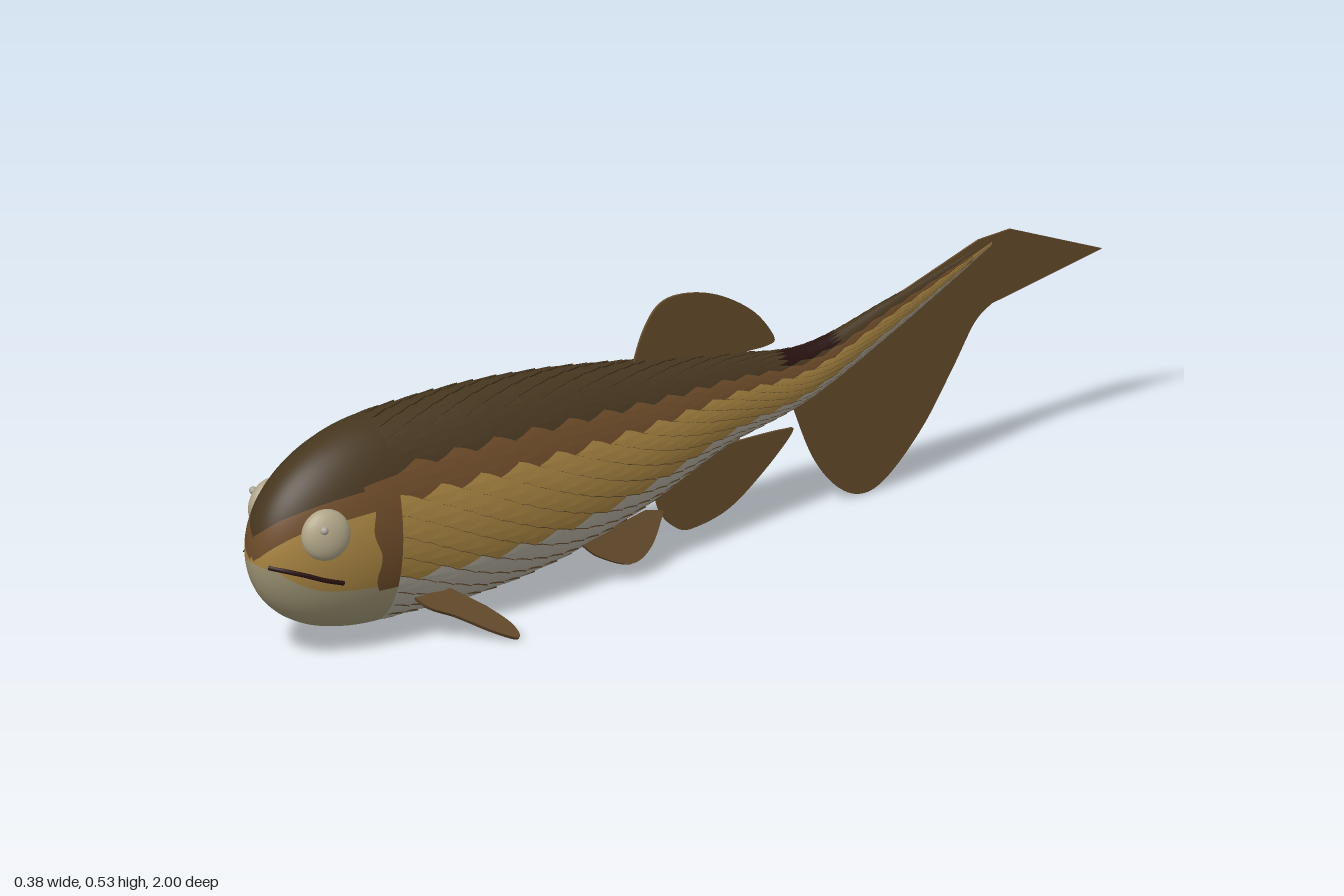
import * as THREE from 'three';

const mat = (name, color, side = THREE.FrontSide) => {
  const m = new THREE.MeshStandardMaterial({ color, side });
  m.name = name;
  return m;
};

// Body profile along z: centre height, half height, half width
const STATIONS = [
  [-0.74, 0.452, 0.006, 0.003], [-0.5, 0.358, 0.036, 0.016], [-0.3, 0.29, 0.056, 0.033],
  [-0.1, 0.283, 0.094, 0.058], [0.1, 0.262, 0.148, 0.088], [0.3, 0.25, 0.192, 0.11],
  [0.5, 0.247, 0.212, 0.122], [0.7, 0.248, 0.21, 0.121], [1, 0.232, 0.21, 0.121],
];
const profile = new THREE.CubicInterpolant(
  STATIONS.map(s => s[0]), STATIONS.flatMap(s => s.slice(1)), 3, new Float32Array(3));

function section(z) {
  const [cy, ry, rx] = profile.evaluate(z);
  const t = Math.max(0, (z - 0.7) / 0.3); // rounded snout
  const f = Math.pow(Math.max(0, 1 - Math.pow(t, 2.1)), 1 / 2.1);
  return { cy, ry: ry * f, rx: rx * f };
}

// Point on the skin; u runs from the belly (0) up the left side to the back (PI)
function skin(z, u, off = 0) {
  const { cy, ry, rx } = section(z);
  const s = Math.sin(u), c = -Math.cos(u);
  const n = new THREE.Vector2(s * ry, c * rx);
  if (n.length() > 1e-9) n.normalize();
  return new THREE.Vector3(rx * s + n.x * off, cy + ry * c + n.y * off, z);
}

// Colour limits on the trunk, as fractions of its height
const BANDS = [0.26, 0.69, 0.8];
const trunkLimits = () => BANDS.map(t => Math.acos(1 - 2 * t));

// Colour limits on the face: height against distance from the middle
const FACE = [
  [[0, 0.222], [0.05, 0.212], [0.085, 0.165], [0.13, 0.135]],
  [[0, 0.224], [0.02, 0.237], [0.07, 0.287], [0.13, 0.325]],
  [[0, 0.268], [0.04, 0.31], [0.08, 0.342], [0.13, 0.375]],
];
function heightAt(table, x) {
  const i = Math.max(1, table.findIndex(p => p[0] >= x));
  const [a, b] = [table[i - 1], table[i]];
  return THREE.MathUtils.mapLinear(x, a[0], b[0], a[1], b[1]);
}
function faceLimits(z) {
  return FACE.map(table => {
    let lo = 0, hi = Math.PI;
    for (let k = 0; k < 24; k++) {
      const u = (lo + hi) / 2, p = skin(z, u);
      if (p.y < heightAt(table, Math.abs(p.x))) lo = u; else hi = u;
    }
    return lo;
  });
}

// Closed skin with four colour bands on each side
function loft(zs, limits, off, materials) {
  const counts = [8, 8, 4, 8], pos = [], owner = [];
  counts.forEach((n, b) => { for (let k = 0; k < n; k++) owner.push(b); });
  const half = owner.length, N = half * 2;
  for (const z of zs) {
    const edges = [0, ...limits(z), Math.PI], us = [];
    counts.forEach((n, b) => {
      for (let k = 0; k < n; k++) us.push(THREE.MathUtils.lerp(edges[b], edges[b + 1], k / n));
    });
    us.push(Math.PI);
    for (let j = 0; j < N; j++) {
      const u = j <= half ? us[j] : 2 * Math.PI - us[N - j];
      pos.push(...skin(z, u, z > 0.9999 ? 0 : off).toArray());
    }
  }
  const geo = new THREE.BufferGeometry(), index = [];
  geo.setAttribute('position', new THREE.Float32BufferAttribute(pos, 3));
  for (let b = 0; b < 4; b++) {
    const start = index.length;
    for (let i = 0; i < zs.length - 1; i++) for (let j = 0; j < N; j++) {
      if (owner[j < half ? j : N - 1 - j] !== b) continue;
      const k = (j + 1) % N, r = i * N, s = r + N;
      index.push(r + j, s + j, s + k, r + j, s + k, r + k);
    }
    geo.addGroup(start, index.length - start, b);
  }
  geo.setIndex(index);
  geo.computeVertexNormals();
  return new THREE.Mesh(geo, materials);
}

// Flat fin from an outline in (z, y)
function finPanel(outline, depth, material, root = 0) {
  const shape = new THREE.Shape(outline.slice(0, root + 1).map(p => new THREE.Vector2(...p)));
  shape.splineThru(outline.slice(root + 1).map(p => new THREE.Vector2(...p)));
  const geo = new THREE.ExtrudeGeometry(shape, { depth, bevelEnabled: false, curveSegments: 24 });
  geo.translate(0, 0, -depth / 2).rotateY(-Math.PI / 2);
  return new THREE.Mesh(geo, material);
}

export function createModel() {
  const fish = new THREE.Group();
  const dark = mat('dark brown', 0x46361f), brown = mat('brown', 0x6e4c2a);
  const gold = mat('gold', 0xa98542), belly = mat('pale grey', 0xb3ada0);
  const cream = mat('cream', 0x9f9574), eyeMat = mat('eye cream', 0xb0a588);
  const pupilMat = mat('pupil grey', 0xaaa59a), maroon = mat('dark maroon', 0x26100f);
  const finMat = mat('fin brown', 0x634a2b, THREE.DoubleSide);
  const add = (mesh, name) => { mesh.name = name; fish.add(mesh); return mesh; };

  // Trunk and head
  const trunkZ = Array.from({ length: 61 }, (_, i) => 0.75 - i * 1.49 / 60);
  add(loft(trunkZ, trunkLimits, 0, [belly, gold, brown, dark]), 'trunk');
  const headZ = Array.from({ length: 49 }, (_, i) => 0.73 + 0.27 * Math.cos(i / 48 * Math.PI / 2));
  add(loft(headZ, faceLimits, 0.004, [cream, gold, brown, dark]), 'head');

  // Overlapping scales, sorted by colour, each with a dark rear rim
  const sets = new Map([belly, gold, brown, dark, maroon].map(m => [m, []]));
  const outline = [[1.15, 0], [0, -1.04], [-0.5, -0.66], [-0.85, -0.26], [-1.05, 0],
    [-0.85, 0.26], [-0.5, 0.66], [0, 1.04]];
  const columns = 30, step = 2 * Math.PI / columns;
  let row = 0;
  for (let z = 0.73; z > -0.69; row++) {
    const size = section(z).ry / 0.21, dz = 0.046 * (0.4 + 0.6 * size);
    const lift = 0.003 * Math.max(0.2, Math.min(1, size * 1.3));
    for (let c = 0; c < columns; c++) {
      const u = (c + (row % 2) / 2) * step, t = (1 - Math.cos(u)) / 2;
      let m = [belly, gold, brown, dark][BANDS.filter(b => t > b).length];
      if (t > 0.85 && z < -0.22 && z > -0.36) m = maroon;
      const place = (p, off) => skin(Math.max(-0.74, z + p[0] * dz), u + p[1] * step / 2, off);
      const top = outline.map(p => place(p, lift * (1.15 - p[0])));
      const low = outline.map(p => place(p, -0.001));
      const centre = place([0, 0], lift * 1.3);
      top.forEach((p, k) => {
        const n = (k + 1) % top.length, q = top[n];
        sets.get(m).push(centre, p, q);
        if (k > 0 && n > 0) sets.get(dark).push(low[k], low[n], q, low[k], q, p);
      });
    }
    z -= dz;
  }
  const scales = add(new THREE.Group(), 'scales');
  for (const [m, points] of sets) {
    const geo = new THREE.BufferGeometry().setFromPoints(points);
    geo.computeVertexNormals();
    const mesh = new THREE.Mesh(geo, m);
    mesh.name = m.name + ' scales';
    scales.add(mesh);
  }

  // Single fins on the middle plane
  add(finPanel([[-0.12, 0.34], [0.11, 0.385], [0.08, 0.47], [0.04, 0.52], [-0.02, 0.527], [-0.1, 0.503],
    [-0.18, 0.45], [-0.228, 0.385], [-0.21, 0.37], [-0.13, 0.372]], 0.005, finMat, 1), 'dorsalFin');
  add(finPanel([[-0.1, 0.23], [0.06, 0.16], [0.04, 0.085], [0, 0.04], [-0.04, 0.031], [-0.12, 0.05],
    [-0.2, 0.105], [-0.27, 0.172], [-0.25, 0.184], [-0.12, 0.187]], 0.005, finMat, 1), 'analFin');
  add(finPanel([[-1, 0.375], [-0.785, 0.47], [-0.71, 0.466], [-0.5, 0.392], [-0.32, 0.335], [-0.27, 0.237],
    [-0.32, 0.11], [-0.38, 0.03], [-0.44, 0.003], [-0.5, 0.028], [-0.58, 0.11],
    [-0.65, 0.215], [-0.7, 0.295], [-0.74, 0.325]], 0.004, finMat, 5), 'tailFin');

  for (const [side, s] of [['left', 1], ['right', -1]]) {
    // Paired fins: outline is (z, distance from the root)
    const pectoral = add(finPanel([[0.62, -0.03], [0.69, -0.03], [0.66, 0.02], [0.61, 0.055],
      [0.55, 0.105], [0.505, 0.132], [0.505, 0.1], [0.54, 0.05]], 0.008, finMat, 1), side + 'PectoralFin');
    pectoral.position.set(s * 0.09, 0.09, 0);
    pectoral.rotation.z = s * Math.atan2(-0.752, -0.66);
    const pelvic = add(finPanel([[0.1, -0.04], [0.26, -0.01], [0.23, 0.022], [0.165, 0.052],
      [0.11, 0.03], [0.06, -0.03]], 0.007, finMat, 1), side + 'PelvicFin');
    pelvic.position.set(s * 0.056, 0.08, 0);
    pelvic.rotation.z = s * Math.atan2(-0.5, -0.87);

    // Eye with a small raised pupil
    const eye = add(new THREE.Mesh(new THREE.SphereGeometry(1, 32, 20), eyeMat), side + 'Eye');
    eye.scale.set(0.026, 0.051, 0.05);
    eye.position.set(s * 0.097, 0.285, 0.893);
    eye.rotation.set(0, -s * 0.25, s * 0.15);
    const pupil = add(new THREE.Mesh(new THREE.SphereGeometry(0.008, 16, 12), pupilMat), side + 'Pupil');
    pupil.position.set(s * 0.119, 0.306, 0.912);

    // Mouth line lying on the skin
    const lip = [[0.988, 0.22], [0.965, 0.215], [0.93, 0.204], [0.895, 0.19], [0.855, 0.177]].map(([z, y]) => {
      const { cy, ry } = section(z);
      const p = skin(z, Math.acos(THREE.MathUtils.clamp((cy - y) / ry, -1, 1)), 0.004);
      return p.setX(p.x * s);
    });
    add(new THREE.Mesh(new THREE.TubeGeometry(new THREE.CatmullRomCurve3(lip), 24, 0.005, 8), maroon), side + 'Mouth');

    // Gill cover band behind the cheek
    const pos = [], index = [], rows = 20, cols = 4;
    for (let i = 0; i <= rows; i++) for (let j = 0; j <= cols; j++) {
      const k = i / rows, u = THREE.MathUtils.lerp(1.05, 2.2, k);
      const front = 0.775 + 0.025 * k + 0.006 * Math.sin(k * 14);
      const p = skin(THREE.MathUtils.lerp(front, 0.732, j / cols), u, 0.0065);
      pos.push(p.x * s, p.y, p.z);
      if (i < rows && j < cols) {
        const a = i * (cols + 1) + j, d = a + cols + 1;
        index.push(...(s > 0 ? [a, a + 1, d + 1, a, d + 1, d] : [a, d + 1, a + 1, a, d, d + 1]));
      }
    }
    const geo = new THREE.BufferGeometry();
    geo.setAttribute('position', new THREE.Float32BufferAttribute(pos, 3));
    geo.setIndex(index);
    geo.computeVertexNormals();
    add(new THREE.Mesh(geo, brown), side + 'GillCover');
  }
  return fish;
}
